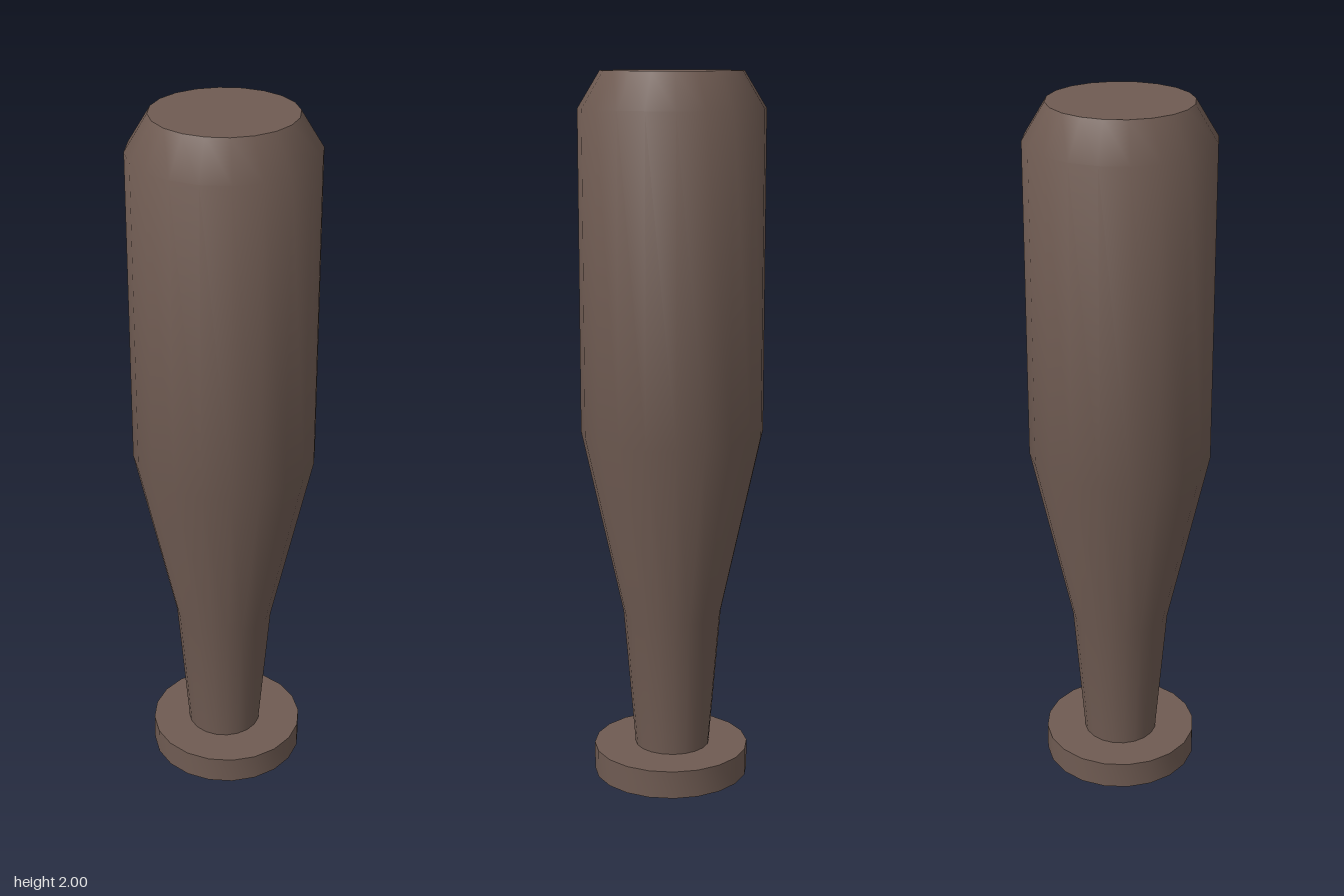
import * as THREE from 'three';
import { toCreasedNormals } from 'three/addons/utils/BufferGeometryUtils.js';

const SIDES = 20;

export function createModel() {
  const group = new THREE.Group();
  group.name = 'bat';
  const wood = new THREE.MeshStandardMaterial({ color: 0x6f5b52 });

  // Turned part from [radius, height] pairs, smooth around and sharp at the end faces
  const turned = (name, profile) => {
    const points = profile.map(([r, y]) => new THREE.Vector2(r, y));
    const geometry = toCreasedNormals(new THREE.LatheGeometry(points, SIDES), 0.8);
    const mesh = new THREE.Mesh(geometry, wood);
    mesh.name = name;
    group.add(mesh);
    return mesh;
  };

  // Handle, taper, barrel and chamfered tip
  turned('barrelAndHandle', [
    [0, 0.08], [0.107, 0.08], [0.14, 0.48], [0.256, 1.01],
    [0.256, 1.9], [0.195, 2], [0, 2],
  ]);

  // Flat knob at the base, set slightly off centre
  const knob = turned('knob', [[0, 0], [0.222, 0], [0.222, 0.08], [0, 0.08]]);
  knob.position.x = 0.007;

  return group;
}
